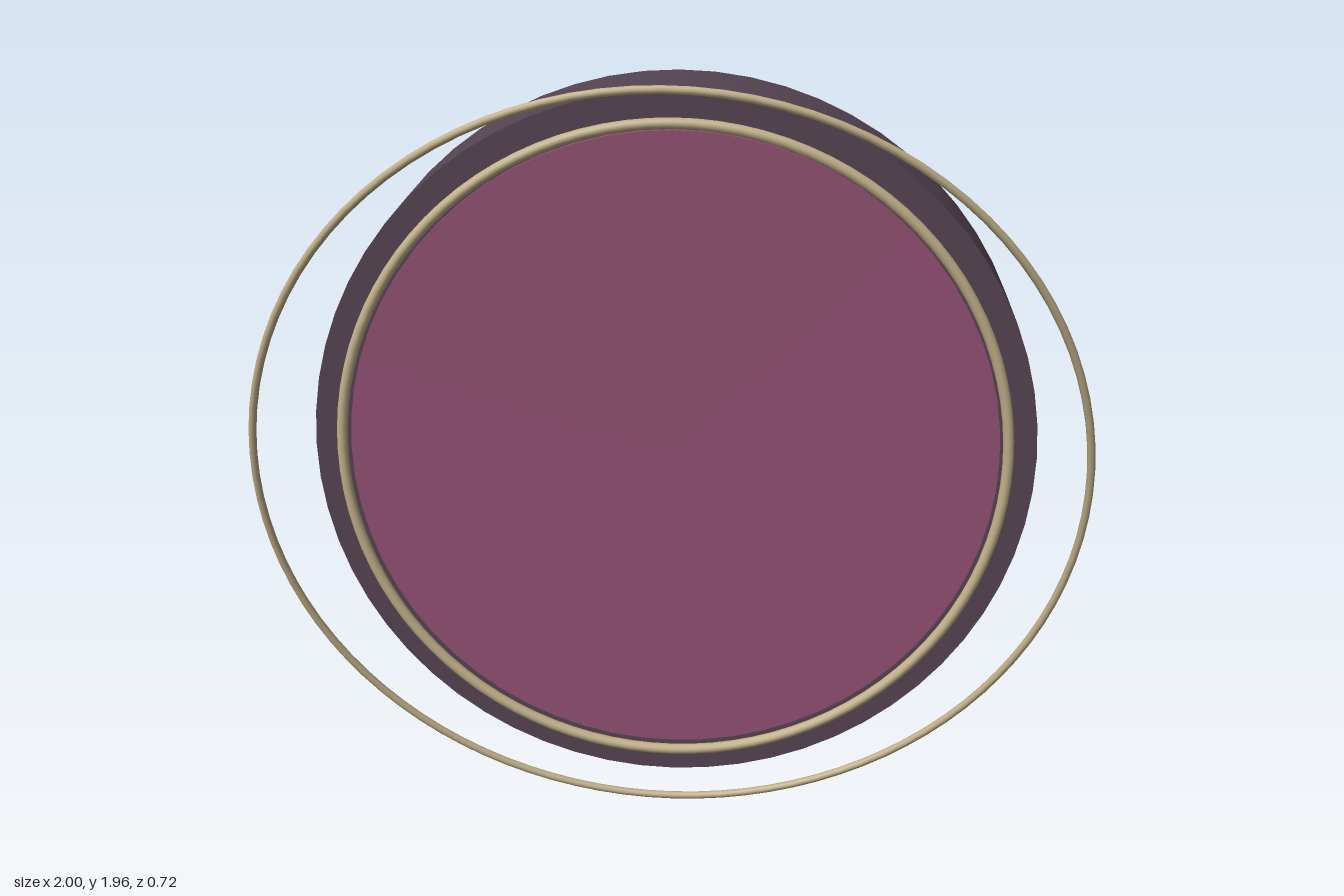
import * as THREE from 'three';

export function createModel() {
  const model = new THREE.Group();
  const plum = new THREE.MeshStandardMaterial({ name: 'dark plum', color: 0x554452 });
  const rose = new THREE.MeshStandardMaterial({ name: 'rose', color: 0x915072 });
  const gold = new THREE.MeshStandardMaterial({ name: 'pale gold', color: 0xbfae88 });
  const centreY = 0.98;

  const add = (name, geometry, material, z) => {
    const mesh = new THREE.Mesh(geometry, material);
    mesh.name = name;
    mesh.position.set(0, centreY, z);
    model.add(mesh);
    return mesh;
  };

  // Disc lying along z, between its back and front faces
  const disc = (name, radius, back, front, material) =>
    add(name, new THREE.CylinderGeometry(radius, radius, front - back, 64).rotateX(Math.PI / 2),
      material, (back + front) / 2);

  // Thick round body and the raised face on its front
  disc('body', 0.895, -0.357, -0.076, plum);
  disc('face', 0.803, -0.08, -0.061, rose);

  // Rim around the face
  add('faceRim', new THREE.TorusGeometry(0.822, 0.0135, 12, 96), gold, -0.047);

  // Thin hoop leaning forward at the top
  const hoop = add('tiltedHoop', new THREE.TorusGeometry(0.99, 0.0095, 10, 96), gold, 0.146);
  hoop.rotation.x = THREE.MathUtils.degToRad(12);

  return model;
}
